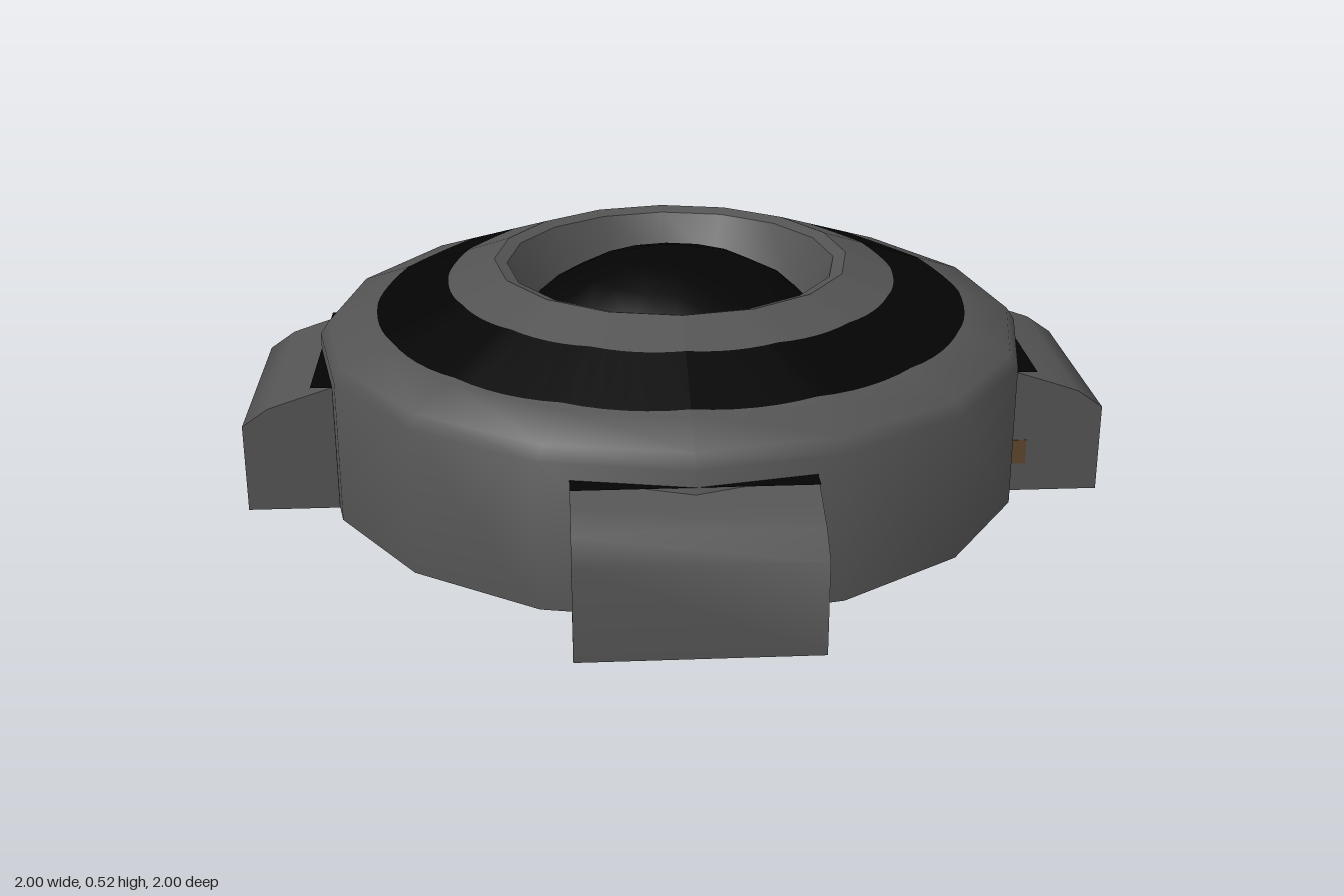
import * as THREE from 'three';
import { toCreasedNormals } from 'three/addons/utils/BufferGeometryUtils.js';

const SIDES = 16;
const HALF = Math.PI / SIDES;
const FOOT_HALF = 0.255;

const makeMaterial = (name, color) => {
  const m = new THREE.MeshStandardMaterial({ color, side: THREE.DoubleSide });
  m.name = name;
  return m;
};

const lathe = (points) => toCreasedNormals(
  new THREE.LatheGeometry(points.map(([r, y]) => new THREE.Vector2(r, y)), SIDES), 0.7);

// Height of the sloping top at a given corner radius
const slope = (r) => 0.37 + (0.82 - r) / 0.4 * 0.15;

// Indexed strip between two equally long rows of points
function strip(rowA, rowB) {
  const n = rowA.length;
  const index = [];
  for (let i = 0; i < n - 1; i++) index.push(i, i + 1, n + i, i + 1, n + i + 1, n + i);
  const g = new THREE.BufferGeometry();
  g.setAttribute('position', new THREE.Float32BufferAttribute([...rowA, ...rowB].flat(), 3));
  g.setIndex(index);
  g.computeVertexNormals();
  return g;
}

// Strip running straight across the width of a foot
const acrossFoot = (points) => strip(
  points.map(([x, y]) => [x, y, FOOT_HALF]),
  points.map(([x, y]) => [x, y, -FOOT_HALF]));

const sideShape = (points) => new THREE.ShapeGeometry(
  new THREE.Shape(points.map(([x, y]) => new THREE.Vector2(x, y))));

// Closed edge on the faceted slope, either following the facets or truly round
function slopeEdge(radius, round) {
  const row = [];
  const steps = SIDES * 6;
  for (let i = 0; i <= steps; i++) {
    const t = i / steps * Math.PI * 2;
    const bulge = Math.cos((i % 6) / 6 * 2 * HALF - HALF) / Math.cos(HALF);
    const r = round ? radius : radius / bulge;
    row.push([r * Math.sin(t), slope(r * bulge), r * Math.cos(t)]);
  }
  return row;
}

export function createModel() {
  const grey = makeMaterial('dark grey metal', 0x535353);
  const black = makeMaterial('black', 0x040404);
  const rust = makeMaterial('rust brown', 0x5c452c);

  const model = new THREE.Group();
  model.name = 'roundHub';

  const add = (parent, name, geometry, material) => {
    const mesh = new THREE.Mesh(geometry, material);
    mesh.name = name;
    parent.add(mesh);
    return mesh;
  };

  // Thin round shell, open below, with a round black stripe on its slope
  const stripeOuter = slopeEdge(0.7, true);
  const stripeInner = slopeEdge(0.53, true);
  add(model, 'outerWall', lathe([[0.84, 0], [0.84, 0.34], [0.82, 0.37], [0.72, slope(0.72)]]), grey);
  add(model, 'lowerSlope', strip(slopeEdge(0.72, false), stripeOuter), grey);
  add(model, 'topStripe', strip(stripeOuter, stripeInner), black);
  add(model, 'upperSlope', strip(stripeInner, slopeEdge(0.42, false)), grey);

  // Hole with a narrow lip, closed by a shallow dome
  add(model, 'holeLip', lathe([[0.42, 0.52], [0.39, 0.51]]), grey);
  add(model, 'holeWall', lathe([[0.39, 0.51], [0.34, 0.39]]), grey);
  add(model, 'centreDome', lathe([[0.345, 0.39], [0.29, 0.44], [0.2, 0.488], [0.1, 0.517], [0, 0.525]]), black);

  // Four hollow feet, grey outside the shell and black where they run on inside it
  const profile = [[1, 0], [1, 0.21], [0.94, 0.252], [0.87, 0.276], [0.79, 0.302]];
  const footTop = acrossFoot(profile);
  footTop.index.array.reverse();
  footTop.computeVertexNormals();
  const footSide = sideShape([...profile, [0.79, 0]]);
  const innerTop = acrossFoot([[0.84, 0.302], [0.47, 0.302]]);
  const innerEnd = acrossFoot([[0.47, 0.302], [0.455, 0]]);
  const innerSide = sideShape([[0.455, 0], [0.79, 0], [0.79, 0.302], [0.47, 0.302]]);

  // Black lining on both faces of the wall where it crosses a foot
  const liningRow = (offset, y) => [-1, 0, 1].map((k) => [
    0.84 - Math.abs(k) * FOOT_HALF * Math.tan(HALF) + offset, y, -k * FOOT_HALF]);
  const linings = [-0.004, 0.004].map((d) => strip(liningRow(d, 0.001), liningRow(d, 0.28)));

  // Stains on the foot sides: side, start, end, bottom, top, material
  const feet = [
    ['left', [[1, 0.79, 0.825, 0.07, 0.13, rust]]],
    ['back', [[-1, 0.79, 0.825, 0.01, 0.09, black], [-1, 0.825, 0.84, 0.02, 0.07, rust], [-1, 0.79, 0.81, 0.09, 0.11, rust]]],
    ['right', [[1, 0.79, 0.825, 0.01, 0.07, black], [1, 0.79, 0.845, 0.07, 0.12, rust]]],
    ['front', [[-1, 0.79, 0.825, 0.02, 0.19, rust], [-1, 0.825, 0.84, 0.06, 0.15, rust]]],
  ];
  feet.forEach(([side, stains], i) => {
    const foot = new THREE.Group();
    foot.name = side + 'Foot';
    foot.rotation.y = i * Math.PI / 2;
    add(foot, 'footTop', footTop, grey);
    add(foot, 'innerTop', innerTop, black);
    add(foot, 'innerEnd', innerEnd, black);
    linings.forEach((g) => add(foot, 'wallLining', g, black));
    for (const s of [-1, 1]) {
      add(foot, 'footSide', footSide, grey).position.z = s * FOOT_HALF;
      add(foot, 'innerSide', innerSide, black).position.z = s * FOOT_HALF;
    }
    stains.forEach(([s, from, to, low, high, material]) => {
      const plate = add(foot, 'footStain', new THREE.BoxGeometry(to - from, high - low, 0.004), material);
      plate.position.set((from + to) / 2, (low + high) / 2, s * FOOT_HALF);
    });
    model.add(foot);
  });

  // Rust on the two wall facets beside the back foot: facet, centre, width, bottom, top
  const patches = [
    [1.5, 0.14, 0.045, 0.07, 0.21],
    [1.5, 0.075, 0.09, 0.07, 0.16],
    [0.5, -0.128, 0.07, 0.07, 0.21],
  ];
  patches.forEach(([facet, x, width, low, high]) => {
    const holder = new THREE.Group();
    holder.name = 'wallRust';
    holder.rotation.y = Math.PI - facet * 2 * HALF;
    const patch = add(holder, 'rustPatch', new THREE.BoxGeometry(width, high - low, 0.006), rust);
    patch.position.set(x, (low + high) / 2, 0.84 * Math.cos(HALF));
    model.add(holder);
  });

  return model;
}
